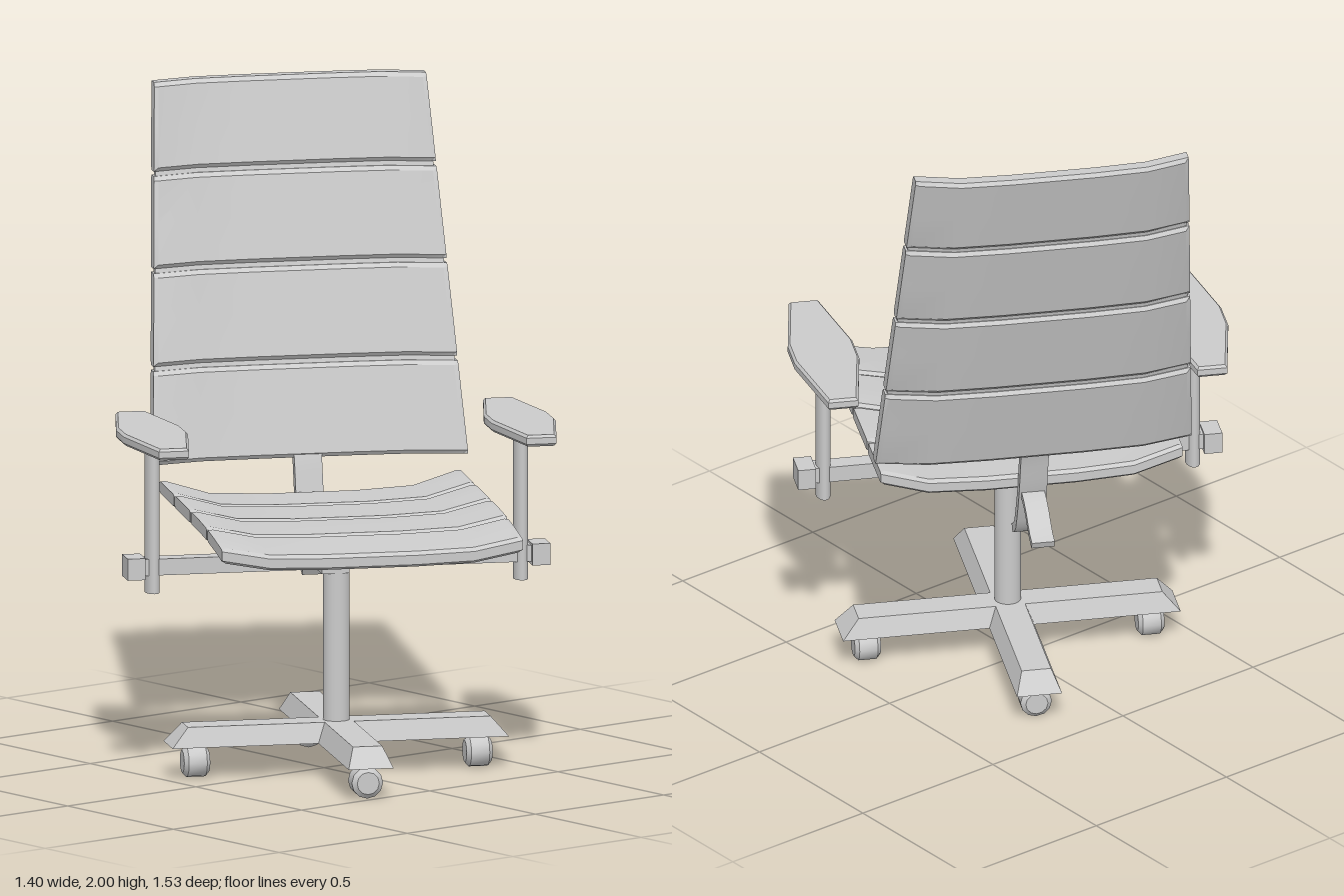
import * as THREE from 'three';
import { toCreasedNormals } from 'three/addons/utils/BufferGeometryUtils.js';

const material = new THREE.MeshStandardMaterial({ color: 0xcccccc });
const V = (x, y, z) => new THREE.Vector3(x, y, z);
const lerp = THREE.MathUtils.lerp;

function add(parent, name, geometry, x = 0, y = 0, z = 0) {
  const mesh = new THREE.Mesh(geometry, material);
  mesh.name = name;
  mesh.position.set(x, y, z);
  parent.add(mesh);
  return mesh;
}

// Solid through closed loops; each loop runs along one side and back along the other.
function loft(loops) {
  const pos = [];
  const quad = (a, b, c, d) => [a, b, c, a, c, d].forEach((p) => pos.push(p.x, p.y, p.z));
  const n = loops[0].length;
  for (let i = 0; i < loops.length - 1; i++) {
    for (let j = 0; j < n; j++) {
      const k = (j + 1) % n;
      quad(loops[i][j], loops[i][k], loops[i + 1][k], loops[i + 1][j]);
    }
  }
  const start = loops[0], end = loops[loops.length - 1];
  for (let j = 0; j < n / 2 - 1; j++) {
    quad(start[n - 1 - j], start[n - 2 - j], start[j + 1], start[j]);
    quad(end[j], end[j + 1], end[n - 2 - j], end[n - 1 - j]);
  }
  const g = new THREE.BufferGeometry();
  g.setAttribute('position', new THREE.Float32BufferAttribute(pos, 3));
  return toCreasedNormals(g, 0.5);
}

// Curved slab: surface(s, t) gives one face, offset leads to the other; ends are chamfered.
const ACROSS = [-1, -0.97, -0.68, -0.3, 0.3, 0.68, 0.97, 1];
function slab(surface, offset, t0, t1, chamfer, inset) {
  const loop = (t, k) => {
    const row = (f) => ACROSS.map((s) => {
      const edge = Math.abs(s) === 1 ? Math.max(k, 0.12) : k;
      return surface(s, t).addScaledVector(offset, f ? 1 - edge : edge);
    });
    return [...row(0), ...row(1).reverse()];
  };
  return loft([loop(t0, inset), loop(t0 + chamfer, 0), loop((t0 + t1) / 2, 0),
    loop(t1 - chamfer, 0), loop(t1, inset)]);
}

// Four padded panels with narrow grooves, bridged by a thinner core.
function panels(parent, name, surface, offset, cuts, gap) {
  for (let i = 0; i < 4; i++) {
    const a = cuts[i] + (i ? gap : 0), b = cuts[i + 1] - (i < 3 ? gap : 0);
    add(parent, name + 'Panel', slab(surface, offset, a, b, 0.012, 0.2));
    if (i < 3) {
      const core = (s, t) => surface(s * 0.985, t).addScaledVector(offset, 0.25);
      add(parent, name + 'Joint', slab(core, offset.clone().multiplyScalar(0.5),
        b - 0.02, cuts[i + 1] + gap + 0.02, 0.005, 0));
    }
  }
}

// Flat strap following points given as [z, y].
function strap(points, width, thick) {
  const curve = new THREE.CatmullRomCurve3(points.map(([z, y]) => V(0, y, z)));
  const loops = [];
  for (let i = 0; i <= 14; i++) {
    const p = curve.getPointAt(i / 14);
    const b = curve.getTangentAt(i / 14).cross(V(1, 0, 0)).multiplyScalar(thick / 2);
    const at = (x, k) => p.clone().addScaledVector(b, k).add(V(x, 0, 0));
    const w = width / 2;
    loops.push([at(-w, -1), at(w, -1), at(w, 1), at(-w, 1)]);
  }
  return loft(loops);
}

// How far the outer wings of a dished section rise, 0 to 1
const wing = (s) => Math.max(0, (Math.abs(s) - 0.62) / 0.38);

export function createModel() {
  const model = new THREE.Group();
  model.name = 'officeChair';
  const chair = new THREE.Group();
  chair.name = 'chair';
  chair.position.set(-0.01, 0, 0.07);
  chair.rotation.y = -0.485;
  model.add(chair);

  // Cross-shaped base with tapered ends
  const rect = (w, l, y) => [V(-w, y, l), V(w, y, l), V(w, y, -l), V(-w, y, -l)];
  for (let i = 0; i < 2; i++) {
    const bar = add(chair, 'baseArm', loft([rect(0.069, 0.517, 0.1), rect(0.045, 0.465, 0.16)]));
    bar.rotation.y = i * Math.PI / 2;
  }

  // Casters
  for (let i = 0; i < 4; i++) {
    const caster = new THREE.Group();
    caster.name = 'caster';
    caster.rotation.y = i * Math.PI / 2;
    chair.add(caster);
    add(caster, 'casterStem', new THREE.CylinderGeometry(0.018, 0.018, 0.06, 12), 0, 0.08, 0.434);
    const r = 0.048;
    const profile = [[0, -0.04], [0.034, -0.04], [r, -0.028], [r, 0.028], [0.034, 0.04], [0, 0.04]];
    const wheel = new THREE.LatheGeometry(profile.map(([x, y]) => new THREE.Vector2(x, y)), 12);
    add(caster, 'wheel', toCreasedNormals(wheel, 0.6), 0, r, 0.434).rotation.x = Math.PI / 2;
  }

  // Column, hub and seat plate
  add(chair, 'column', new THREE.CylinderGeometry(0.04, 0.04, 0.54, 24), 0, 0.365, 0);
  add(chair, 'hub', new THREE.BoxGeometry(0.085, 0.1, 0.085), -0.01, 0.663, 0);
  add(chair, 'seatPlate', new THREE.BoxGeometry(0.26, 0.035, 0.24), 0, 0.722, 0);

  // Crossbar and armrests
  add(chair, 'crossbar', new THREE.BoxGeometry(1.26, 0.05, 0.055), 0, 0.65, 0);
  const pad = new THREE.Shape([[-0.04, -0.32], [0.04, -0.32], [0.092, -0.06], [0.092, 0.05],
    [0.04, 0.312], [-0.04, 0.312], [-0.092, 0.05], [-0.092, -0.06]]
    .map(([x, z]) => new THREE.Vector2(x, -z)));
  for (const side of [-1, 1]) {
    add(chair, 'crossbarEnd', new THREE.BoxGeometry(0.055, 0.066, 0.085), side * 0.622, 0.648, 0);
    const post = new THREE.CylinderGeometry(1, 1, 0.47, 20);
    post.scale(0.022, 1, 0.039);
    add(chair, 'armPost', post, side * 0.566, 0.805, 0);
    const g = new THREE.ExtrudeGeometry(pad, { depth: 0.019, bevelSize: 0.007,
      bevelThickness: 0.008, bevelSegments: 1 });
    g.rotateX(-Math.PI / 2);
    add(chair, 'armrest', toCreasedNormals(g, 0.5), side * 0.565, 1.038, 0);
  }

  // Seat, dished more towards the rear and drooping at the front lip
  const seat = (s, z) => {
    const lip = Math.max(0, (z - 0.15) / 0.39);
    const rear = Math.max(0, (0.5 - z) / 0.9);
    const rise = lerp(0.033, 0.055, rear);
    return V(s * 0.462, 0.74 - 0.025 * lip * lip + rise * wing(s), z);
  };
  panels(chair, 'seat', seat, V(0, 0.047, 0), [-0.39, -0.172, 0.068, 0.312, 0.538], 0.006);

  // Reclined backrest, narrowing upwards, wings curving forward
  const back = (s, y) => {
    const t = (y - 0.885) / 1.115;
    return V(s * lerp(0.484, 0.418, t), y, lerp(-0.415, -0.72, t) + 0.046 * wing(s));
  };
  panels(chair, 'back', back, V(0, 0, -0.058), [0.885, 1.165, 1.45, 1.733, 2.0], 0.007);

  // Back support strap and lever strap
  add(chair, 'backSupport', strap([[-0.295, 0.56], [-0.335, 0.585], [-0.37, 0.66],
    [-0.4, 0.75], [-0.43, 0.88], [-0.455, 0.95]], 0.085, 0.028));
  add(chair, 'rearStrap', strap([[-0.08, 0.728], [-0.25, 0.733], [-0.4, 0.73], [-0.47, 0.705],
    [-0.53, 0.66], [-0.575, 0.643]], 0.07, 0.022));

  return model;
}
